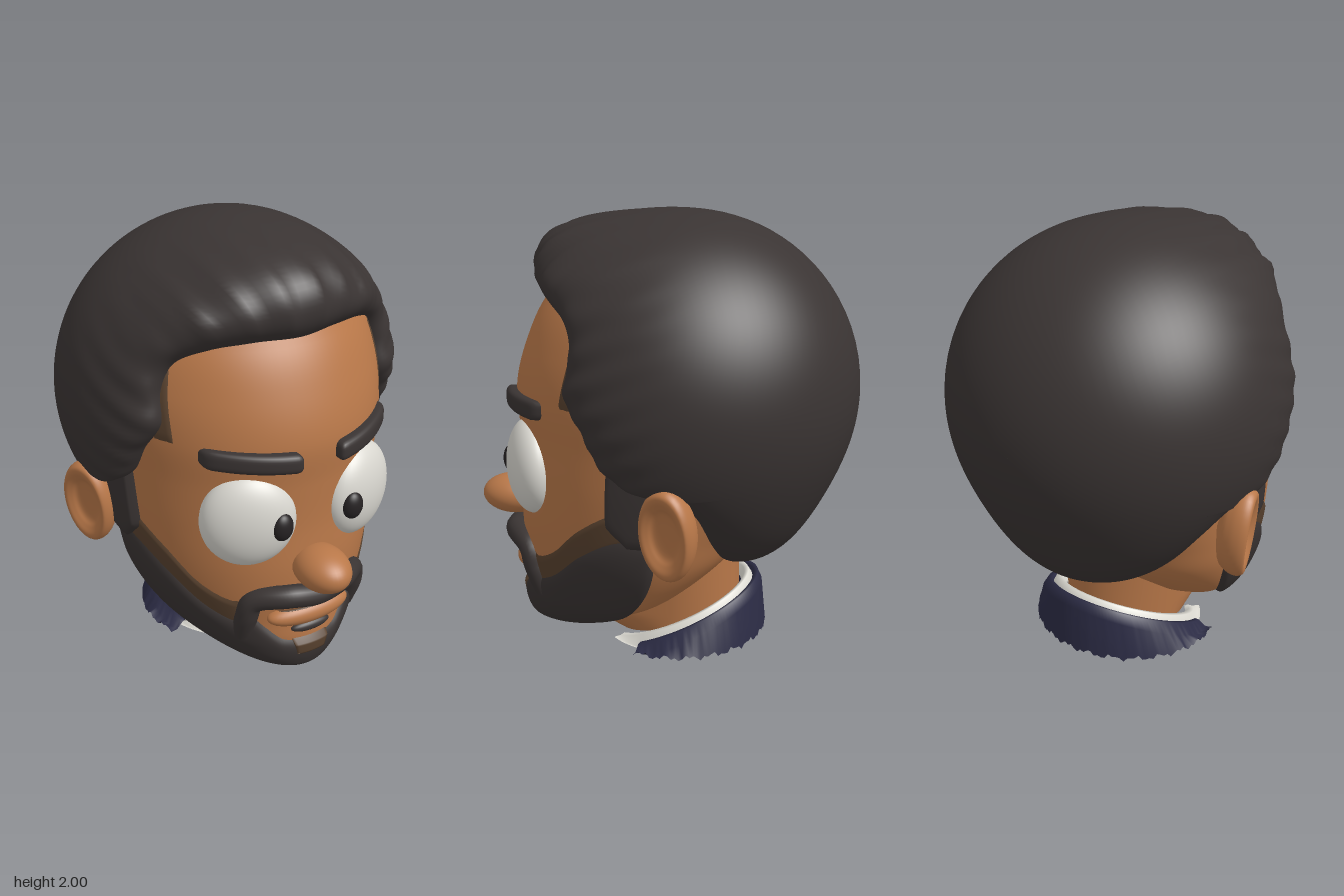
import * as THREE from 'three';
import { mergeVertices } from 'three/addons/utils/BufferGeometryUtils.js';

const mat = (name, color, side = THREE.FrontSide) => {
  const m = new THREE.MeshStandardMaterial({ color, side });
  m.name = name;
  return m;
};
const rad = THREE.MathUtils.degToRad;

// Smooth interpolation through rows [key, value, value...], returning column k
function sample(rows, key, k = 1) {
  const n = rows.length - 1;
  const x = Math.min(Math.max(key, rows[0][0]), rows[n][0]);
  let i = 0;
  while (i < n - 1 && x > rows[i + 1][0]) i++;
  const slope = (j) => {
    const a = rows[Math.max(j - 1, 0)], b = rows[Math.min(j + 1, n)];
    return (b[k] - a[k]) / (b[0] - a[0]);
  };
  const h = rows[i + 1][0] - rows[i][0], t = (x - rows[i][0]) / h;
  const t2 = t * t, t3 = t2 * t;
  return rows[i][k] * (2 * t3 - 3 * t2 + 1) + rows[i + 1][k] * (3 * t2 - 2 * t3)
    + h * (slope(i) * (t3 - 2 * t2 + t) + slope(i + 1) * (t3 - t2));
}

// Grid surface from point(u, v); outward when u x v points out
function grid(nu, nv, point) {
  const pos = [], idx = [];
  for (let j = 0; j <= nv; j++) for (let i = 0; i <= nu; i++) pos.push(...point(i / nu, j / nv).toArray());
  for (let j = 0; j < nv; j++) for (let i = 0; i < nu; i++) {
    const a = j * (nu + 1) + i, b = a + nu + 1;
    idx.push(a, a + 1, b, a + 1, b + 1, b);
  }
  const g = new THREE.BufferGeometry();
  g.setAttribute('position', new THREE.Float32BufferAttribute(pos, 3));
  g.setIndex(idx);
  const m = mergeVertices(g, 1e-5);
  m.computeVertexNormals();
  return m;
}

// Head cross-sections: height, half width, front z, back z, z of the widest point
const HEAD = [
  [0.03, 0, 0.54, 0.54, 0.54], [0.05, 0.14, 0.62, 0.37, 0.46], [0.1, 0.27, 0.655, 0.2, 0.33], [0.2, 0.41, 0.67, -0.05, 0.14],
  [0.3, 0.49, 0.665, -0.2, 0.06], [0.45, 0.56, 0.675, -0.36, 0.01], [0.6, 0.595, 0.68, -0.45, 0],
  [0.8, 0.62, 0.67, -0.6, 0], [1.0, 0.635, 0.675, -0.66, -0.02], [1.2, 0.655, 0.685, -0.72, -0.06],
  [1.4, 0.65, 0.635, -0.7, -0.1], [1.6, 0.58, 0.54, -0.6, -0.1], [1.75, 0.45, 0.4, -0.5, -0.1], [1.88, 0.1, 0.05, -0.2, -0.1],
];
function headPoint(a, y, off = 0) {
  const [w, f, b, c] = [1, 2, 3, 4].map((k) => sample(HEAD, y, k));
  const cos = Math.cos(a);
  const p = new THREE.Vector3(w * Math.sin(a), y, c + (cos > 0 ? f - c : c - b) * cos);
  const out = p.clone().sub(new THREE.Vector3(0, 0.75, 0.1)).normalize();
  return p.addScaledVector(out, off);
}
function faceZ(x, y) {
  const [w, f, , c] = [1, 2, 3, 4].map((k) => sample(HEAD, y, k));
  return c + (f - c) * Math.sqrt(Math.max(0, 1 - (x / w) ** 2));
}
// Raised patch lying on the head, sinking in along its edges
function patch(a0, a1, low, high, off, nu, nv, openBottom = false) {
  return grid(nu, nv, (u, v) => {
    const a = a0 + (a1 - a0) * u, d = Math.abs(a) * 180 / Math.PI;
    const y = low(d) + (high(d) - low(d)) * v;
    const eu = Math.abs(2 * u - 1) ** 24, ev = openBottom ? v ** 14 : Math.abs(2 * v - 1) ** 14;
    return headPoint(a, y, off * (1 - 1.3 * Math.max(eu, ev)));
  });
}

const BEARD_TOP = [[0, 0.205], [18, 0.22], [26, 0.3], [31, 0.36], [37, 0.33], [50, 0.4], [64, 0.55], [80, 0.66], [96, 0.66]];

// Hairline from the forehead round the temple and ear to the nape
const HAIRLINE = [
  [0, 1.62, 0.52], [0.2, 1.63, 0.49], [0.38, 1.61, 0.42], [0.5, 1.54, 0.33], [0.545, 1.42, 0.31], [0.55, 1.28, 0.33],
  [0.58, 1.15, 0.25], [0.61, 1.0, 0.17], [0.62, 0.93, 0.05], [0.6, 0.92, -0.1], [0.56, 0.8, -0.2],
  [0.46, 0.6, -0.27], [0.3, 0.47, -0.3], [0.15, 0.4, -0.35], [0, 0.38, -0.36],
].map((p) => new THREE.Vector3(...p));

function hairGeometry() {
  const centre = new THREE.Vector3(0, 1.2, -0.1), pole = new THREE.Vector3(0, 0, -1);
  const quiff = new THREE.Vector3(-0.04, 0.63, 0.77).normalize(), nape = new THREE.Vector3(0, -0.9, -0.44).normalize();
  const mirrored = HAIRLINE.slice(1, -1).reverse().map((p) => new THREE.Vector3(-p.x, p.y, p.z));
  const line = new THREE.CatmullRomCurve3([...HAIRLINE, ...mirrored], true);
  return grid(220, 48, (u, v) => {
    const edge = line.getPoint((1 - u) % 1).sub(centre);
    const rEdge = edge.length() - 0.015, dirEdge = edge.normalize();
    const t = 1 - (1 - v) ** 1.8;
    const ang = pole.angleTo(dirEdge);
    const side = dirEdge.clone().addScaledVector(pole, -dirEdge.dot(pole)).normalize();
    const d = pole.clone().multiplyScalar(Math.cos(ang * t)).addScaledVector(side, Math.sin(ang * t));
    // Broad swellings over the forehead and the nape
    const wide = new THREE.Vector3(d.x * 0.6, d.y, d.z).normalize();
    const front = Math.exp(-(1 - wide.dot(quiff)) / 0.105);
    const back = Math.exp(-(1 - wide.dot(nape)) / 0.08);
    // Combed strands fade out toward the back
    const strands = (0.01 * Math.sin(d.x * 34 + d.y * 9) + 0.006 * Math.sin(d.x * 71 - d.z * 13)) * front
      + 0.008 * Math.sin(d.y * 38 + d.z * 16) * t ** 6 * (d.z > -0.1 ? Math.min(1, (d.z + 0.1) * 4) : 0);
    const r = 0.793 + 0.15 * front + 0.095 * back + strands;
    const s = Math.sqrt(Math.max(0, 1 - t ** 24));
    return d.multiplyScalar(rEdge + (r - rEdge) * s).add(centre);
  });
}

// Rounded bar wrapped along the brow
function browGeometry(s) {
  const w = 0.185, h = 0.045, dz = 0.045, r = 0.03;
  const g = new THREE.BoxGeometry(2 * w, 2 * h, 2 * dz, 24, 8, 8);
  g.deleteAttribute('uv');
  g.deleteAttribute('normal');
  const m = mergeVertices(g), p = m.attributes.position, v = new THREE.Vector3();
  const core = new THREE.Vector3(w - r, h - r, dz - r);
  for (let i = 0; i < p.count; i++) {
    v.fromBufferAttribute(p, i);
    const q = v.clone().clamp(core.clone().negate(), core);
    const e = v.clone().sub(q);
    if (e.length() > 0) v.copy(q).addScaledVector(e.normalize(), r);
    const x = v.x + s * 0.275;
    p.setXYZ(i, x, v.y + 1.155 + s * v.x * 0.06, v.z + faceZ(x, 1.155) + 0.005);
  }
  m.computeVertexNormals();
  return m;
}

export function createModel() {
  const model = new THREE.Group();
  model.name = 'beardedHead';
  const skin = mat('skin', 0xb97849), hair = mat('dark hair', 0x3a3433), stubble = mat('stubble', 0x59422f);
  const white = mat('eye white', 0xd9d7d0), black = mat('pupil', 0x262223);
  const shirt = mat('shirt white', 0xdddbd3, THREE.DoubleSide), navy = mat('navy jacket', 0x2c2c45, THREE.DoubleSide);
  const add = (name, geo, material, parent = model) => {
    const m = new THREE.Mesh(geo, material);
    m.name = name;
    parent.add(m);
    return m;
  };
  const ball = (name, material, pos, scale, rotY = 0) => {
    const m = add(name, new THREE.SphereGeometry(1, 40, 28), material);
    m.position.set(...pos);
    m.scale.set(...scale);
    m.rotation.y = rotY;
    return m;
  };

  // Head, hair and neck
  add('head', grid(96, 90, (u, v) => headPoint((u * 2 - 1) * Math.PI, 0.03 + 1.85 * v)), skin);
  add('hair', hairGeometry(), hair);
  add('neck', grid(48, 30, (u, v) => {
    const a = (u * 2 - 1) * Math.PI, r = 0.27 + 0.06 * v, cos = Math.cos(a);
    const z = -0.07 + cos * 0.29;
    const y0 = Math.max(0, 0.06 - 0.3 * z);
    const throat = Math.max(0, cos) * 0.2 * Math.min(1, v * 7);
    return new THREE.Vector3(Math.sin(a) * r, y0 + (0.6 - y0) * v, z + throat);
  }), skin);
  add('neckBase', grid(48, 2, (u, v) => {
    const a = (1 - u * 2) * Math.PI, z = -0.07 + Math.cos(a) * 0.29 * v;
    return new THREE.Vector3(Math.sin(a) * 0.27 * v, Math.max(0, 0.06 - 0.3 * z), z);
  }).scale(1, 1, 1), mat('skin', 0xb97849, THREE.DoubleSide));

  // Beard, moustache, chin and soul patch
  const top = (d) => sample(BEARD_TOP, d);
  add('beard', patch(rad(-97), rad(97), () => 0.0301, top, 0.028, 120, 36, true), hair);
  add('chinStubble', patch(rad(-13), rad(13), () => 0.145, () => 0.215, 0.031, 16, 10), stubble);
  const path = [[-0.27, 0.24], [-0.28, 0.36], [-0.262, 0.445], [-0.14, 0.482], [0, 0.468], [0.14, 0.482], [0.262, 0.445], [0.28, 0.36], [0.27, 0.24]];
  const curve = new THREE.CatmullRomCurve3(path.map(([x, y]) =>
    new THREE.Vector3(x, y, faceZ(x, y) + (y < 0.3 ? -0.03 : y > 0.46 ? 0.035 : 0))));
  add('moustache', new THREE.TubeGeometry(curve, 80, 0.053, 16), hair);
  ball('soulPatch', hair, [0, 0.27, 0.66], [0.1, 0.028, 0.032]);

  // Lips and nose
  ball('upperLip', skin, [0, 0.42, 0.65], [0.2, 0.035, 0.06]);
  ball('lowerLip', skin, [0, 0.345, 0.635], [0.21, 0.062, 0.078]);
  ball('mouthLine', stubble, [0, 0.396, 0.655], [0.17, 0.008, 0.051]);
  ball('nose', skin, [0, 0.615, 0.735], [0.12, 0.096, 0.158]);

  // Ear dish, from back to rim to hollow
  const earProfile = [[0, -0.12], [0.7, -0.09], [0.94, -0.04], [1, 0.01], [0.93, 0.045], [0.8, 0.05], [0.64, 0.035], [0.45, 0.015], [0, 0.01]]
    .map(([r, h]) => new THREE.Vector2(r, h));
  const earCurve = new THREE.SplineCurve(earProfile).getPoints(40);
  earCurve.forEach((p) => { p.x = Math.max(0, p.x); });

  for (const s of [1, -1]) {
    const side = s > 0 ? 'left' : 'right';
    const band = (from, to) => (s > 0 ? [rad(from), rad(to)] : [rad(-to), rad(-from)]);
    add(side + 'Sideburn', patch(...band(75, 96), (d) => 0.6 + Math.max(0, 84 - d) * 0.012, () => 1.05, 0.036, 14, 20), hair);
    add(side + 'Stubble', patch(...band(34, 94), (d) => top(d) - 0.05, (d) => top(d) + 0.11, 0.008, 40, 10), stubble);
    add(side + 'TempleFade', patch(...band(53.5, 62), () => 1.2, () => 1.52, 0.006, 8, 16), stubble);
    ball(side + 'Eye', white, [s * 0.278, 0.86, 0.57], [0.21, 0.222, 0.115], s * rad(24));
    ball(side + 'Pupil', black, [s * 0.18, 0.855, 0.694], [0.05, 0.065, 0.038]);
    add(side + 'Eyebrow', browGeometry(s), hair);
    const ear = new THREE.Group();
    ear.name = side + 'Ear';
    ear.position.set(s * 0.708, 0.73, -0.12);
    ear.rotation.set(0, -s * rad(24), -s * rad(6));
    model.add(ear);
    const dish = add(side + 'EarDish', new THREE.LatheGeometry(earCurve, 40), skin, ear);
    dish.rotation.z = -s * Math.PI / 2;
    dish.scale.set(0.212, 0.9, 0.13);
  }

  // Sloping shirt collar and jacket collar, open at the throat
  const slope = (z) => Math.max(0, 0.084 - 0.464 * z);
  const collar = (spread, rows) => grid(96, rows.length - 1, (u, v) => {
    const b = rad(spread) * (2 * u - 1);
    const [rx, rz, drop, floor] = rows[Math.round(v * (rows.length - 1))];
    const z = -0.07 - Math.cos(b) * rz;
    // Torn lower hem
    const hem = floor ? 0.018 * (1 + Math.sin(b * 41) * Math.sin(b * 17)) : 0;
    const y = floor ? Math.min(hem, slope(z)) : Math.max(0, slope(z) - drop);
    return new THREE.Vector3(Math.sin(b) * rx, y, z);
  });
  add('shirtCollar', collar(138, [[0.29, 0.3, 0.04], [0.31, 0.315, 0], [0.335, 0.335, 0], [0.355, 0.36, 0.05], [0.37, 0.37, 0.1]]), shirt);
  add('jacketCollar', collar(112, [[0.345, 0.345, 0.06], [0.355, 0.36, 0.025], [0.375, 0.38, 0.025], [0.41, 0.4, 0.08], [0.45, 0.42, 0, true]]), navy);

  return model;
}
